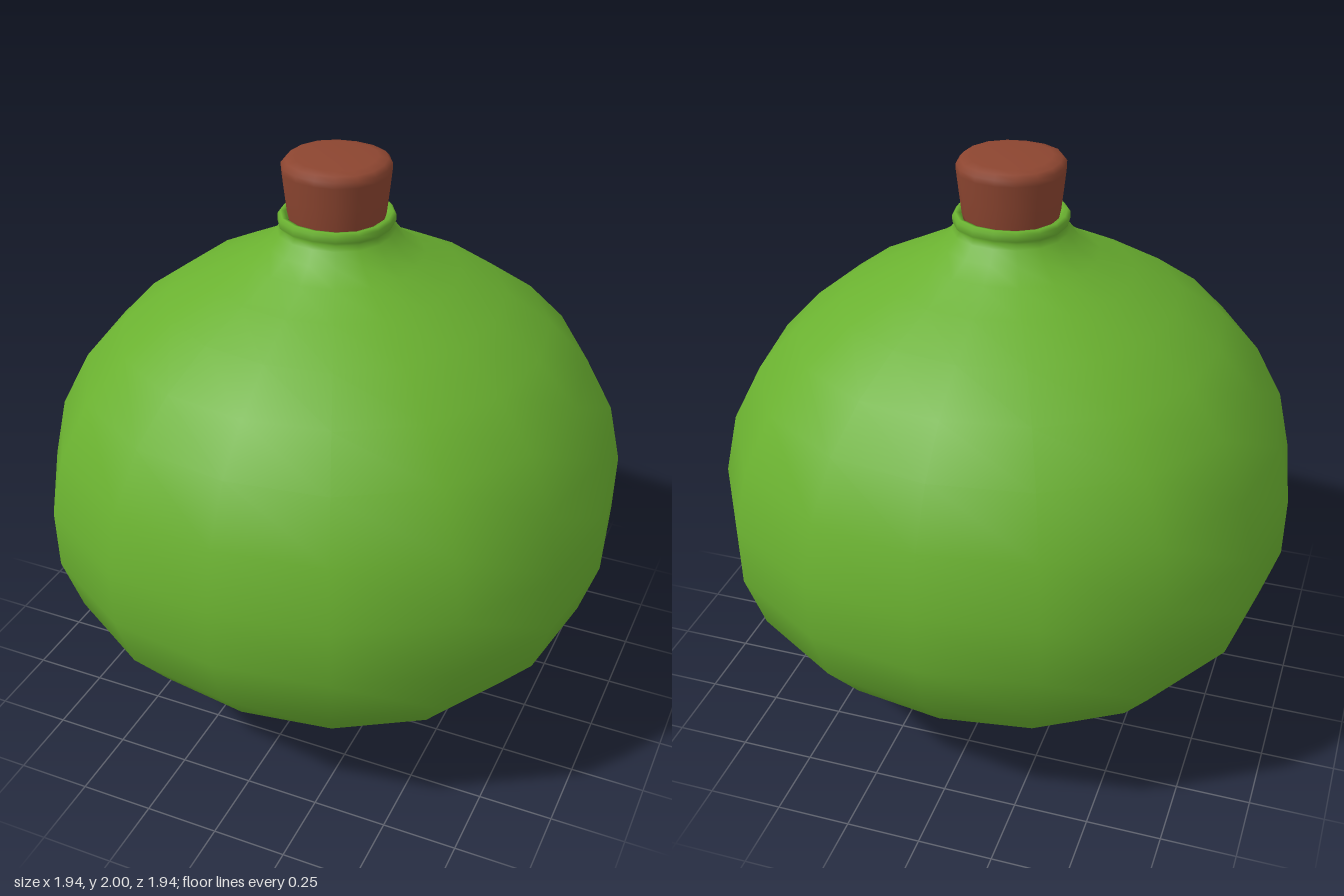
import * as THREE from 'three';
import { mergeVertices } from 'three/addons/utils/BufferGeometryUtils.js';

// Smooth 16-sided turned form, slightly fuller on the diagonals
function turned(name, profile, material) {
  const geo = new THREE.LatheGeometry(profile.map(([r, y]) => new THREE.Vector2(r, y)), 16);
  const pos = geo.attributes.position;
  for (let i = 0; i < pos.count; i++) {
    const x = pos.getX(i), z = pos.getZ(i);
    const k = 1 + 0.035 * Math.sin(2 * Math.atan2(z, x)) ** 2;
    pos.setX(i, x * k);
    pos.setZ(i, z * k);
  }
  geo.deleteAttribute('uv');
  geo.deleteAttribute('normal');
  const smooth = mergeVertices(geo, 1e-5);
  smooth.computeVertexNormals();
  const mesh = new THREE.Mesh(smooth, material);
  mesh.name = name;
  return mesh;
}

export function createModel() {
  const green = new THREE.MeshStandardMaterial({ color: 0x6ab130 });
  green.name = 'green glass';
  const brown = new THREE.MeshStandardMaterial({ color: 0x8c4530 });
  brown.name = 'brown cork';

  const group = new THREE.Group();
  group.name = 'corkedFlask';

  // Round body running up into the neck and rolled lip
  group.add(turned('flask', [
    [0, 0], [0.14, 0.018], [0.28, 0.055], [0.44, 0.12], [0.62, 0.215], [0.78, 0.34],
    [0.905, 0.495], [0.966, 0.685], [0.97, 0.89], [0.925, 1.095], [0.83, 1.28],
    [0.7, 1.42], [0.55, 1.53], [0.4, 1.61], [0.285, 1.67], [0.22, 1.715], [0.19, 1.755],
    [0.178, 1.77], [0.187, 1.782], [0.187, 1.803], [0.178, 1.814], [0.163, 1.81], [0.152, 1.78],
  ], green));

  // Tapered stopper with a softened top edge
  group.add(turned('cork', [
    [0, 1.77], [0.148, 1.77], [0.157, 1.81], [0.165, 1.88], [0.173, 1.955], [0.173, 1.975],
    [0.16, 1.99], [0.13, 1.997], [0, 2],
  ], brown));
  return group;
}
